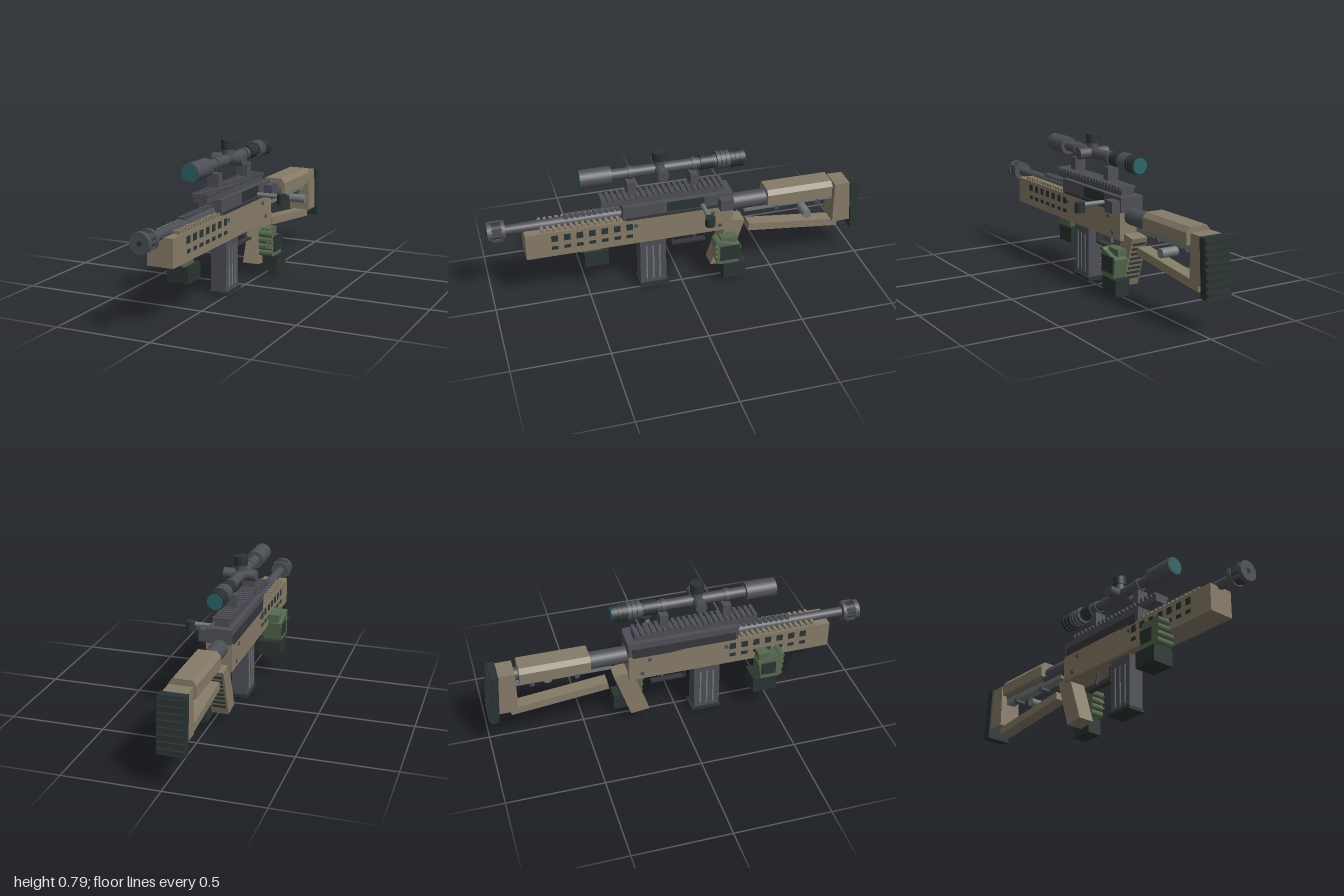
import * as THREE from 'three';

const material = (name, color) => {
  const m = new THREE.MeshStandardMaterial({ color });
  m.name = name;
  return m;
};

export function createModel() {
  const root = new THREE.Group();
  root.name = 'scopedRifle';
  const CX = -0.045; // bore axis in x
  const gun = material('gunmetal', 0x4d4f56);
  const dark = material('dark steel', 0x36373c);
  const tan = material('tan polymer', 0x867b68);
  const rubber = material('black rubber', 0x2a3432);
  const green = material('green glove', 0x55684f);
  const steel = material('light steel', 0x737978);
  const glass = material('teal lens', 0x286466);
  const stitch = material('glove seam', 0x8a7b55);

  const add = (name, geo, mat) => {
    const m = new THREE.Mesh(geo, mat);
    m.name = name;
    root.add(m);
    return m;
  };
  // Box given by its limits on each axis
  const box = (name, mat, x0, x1, y0, y1, z0, z1) =>
    add(name, new THREE.BoxGeometry(x1 - x0, y1 - y0, Math.abs(z1 - z0))
      .translate((x0 + x1) / 2, (y0 + y1) / 2, (z0 + z1) / 2), mat);
  // Round part along z; r0 at z0 (front), r1 at z1 (rear)
  const rodZ = (name, mat, y, z0, z1, r0, r1 = r0, seg = 24) =>
    add(name, new THREE.CylinderGeometry(r0, r1, z0 - z1, seg).rotateX(Math.PI / 2)
      .translate(CX, y, (z0 + z1) / 2), mat);
  const rodX = (name, mat, x0, x1, y, z, r, seg = 16) =>
    add(name, new THREE.CylinderGeometry(r, r, x1 - x0, seg).rotateZ(Math.PI / 2)
      .translate((x0 + x1) / 2, y, z), mat);
  const rodY = (name, mat, x, z, y0, y1, r, seg = 16) =>
    add(name, new THREE.CylinderGeometry(r, r, y1 - y0, seg).translate(x, (y0 + y1) / 2, z), mat);
  // Side profile of [z, y] points, extruded across x
  const profile = (name, mat, x0, x1, pts) => {
    const shape = new THREE.Shape(pts.map(p => new THREE.Vector2(...p)));
    const geo = new THREE.ExtrudeGeometry(shape, { depth: x1 - x0, bevelEnabled: false });
    return add(name, geo.rotateY(-Math.PI / 2).translate(x1, 0, 0), mat);
  };

  // Barrel and muzzle brake
  rodZ('barrel', gun, 0.452, 0.93, 0.3, 0.024, 0.031);
  rodZ('muzzleFront', gun, 0.452, 1.0, 0.975, 0.052);
  rodZ('muzzleRear', gun, 0.452, 0.93, 0.91, 0.052);
  rodZ('muzzleCore', dark, 0.452, 0.98, 0.92, 0.045);
  for (const y of [0.425, 0.452, 0.479]) box('muzzleRib', gun, CX - 0.045, CX + 0.045, y - 0.008, y + 0.008, 0.925, 0.98);
  rodZ('bore', rubber, 0.452, 1.001, 0.99, 0.013);

  // Handguard with two rows of vents on each side
  box('handguard', tan, -0.112, 0.025, 0.298, 0.44, -0.27, 0.82);
  for (const x of [-0.112, 0.025]) {
    for (let i = 0; i < 7; i++) {
      const z = 0.672 - i * 0.0645;
      box('upperVent', rubber, x - 0.002, x + 0.002, 0.385, 0.42, z - 0.017, z + 0.017);
      box('lowerVent', rubber, x - 0.002, x + 0.002, 0.338, 0.357, z - 0.017, z + 0.017);
    }
    for (const [y, z] of [[0.405, 0.25], [0.41, -0.16], [0.33, -0.2]])
      rodX('receiverPin', gun, x - 0.004, x + 0.004, y, z, 0.011);
  }
  for (let i = 0; i < 14; i++) {
    const z = 0.73 - i * 0.03;
    box('handguardRib', tan, -0.106, 0.018, 0.438, 0.457, z - 0.008, z + 0.008);
  }
  for (let i = 0; i < 10; i++) {
    const z = 0.6 - i * 0.03;
    box('barrelRib', gun, -0.063, -0.027, 0.46, 0.49, z - 0.009, z + 0.009);
  }

  // Receiver, ejection port and rear cover
  box('receiver', gun, -0.108, 0.02, 0.43, 0.518, -0.27, 0.315);
  box('ejectionPort', rubber, 0.017, 0.023, 0.46, 0.515, -0.115, 0.085);
  box('sidePanel', dark, 0.017, 0.024, 0.432, 0.455, -0.25, 0.3);
  box('sidePanel', dark, -0.112, -0.105, 0.432, 0.485, -0.25, 0.3);
  box('boltCover', gun, 0.02, 0.067, 0.44, 0.502, -0.26, -0.19);

  // Top rail
  box('topRail', gun, -0.083, -0.007, 0.518, 0.547, -0.23, 0.42);
  for (let i = 0; i < 22; i++) {
    const z = 0.41 - i * 0.03;
    box('railTooth', gun, -0.092, 0.002, 0.547, 0.563, z - 0.009, z + 0.009);
  }

  // Bolt handle
  rodX('boltHandle', steel, 0.02, 0.14, 0.467, -0.105, 0.012);
  rodY('boltKnob', rubber, 0.16, -0.105, 0.43, 0.48, 0.026);

  // Scope
  const SY = 0.685;
  rodZ('scopeTube', gun, SY, 0.37, -0.2, 0.028);
  rodZ('scopeBell', gun, SY, 0.52, 0.36, 0.047);
  rodZ('frontLens', glass, SY, 0.522, 0.518, 0.042);
  rodZ('focusRing', rubber, SY, -0.105, -0.175, 0.038);
  rodZ('eyepieceNeck', gun, SY, -0.175, -0.2, 0.032);
  rodZ('eyepiece', rubber, SY, -0.19, -0.338, 0.042);
  for (let i = 0; i < 6; i++) rodZ('eyepieceRing', i < 3 ? gun : rubber, SY, -0.19 - i * 0.0245, -0.21 - i * 0.0245, 0.046);
  rodZ('rearLens', glass, SY, -0.337, -0.341, 0.04);
  rodX('sideTurrets', gun, -0.128, 0.045, SY, 0.107, 0.03);
  rodY('turretStem', gun, CX, 0.107, SY, 0.74, 0.029);
  rodY('turretCap', rubber, CX, 0.107, 0.737, 0.785, 0.036, 12);
  for (const z of [0.26, -0.072]) {
    box('scopeMount', gun, -0.077, -0.013, 0.573, 0.64, z - 0.022, z + 0.022);
    rodZ('scopeRing', gun, SY, z + 0.012, z - 0.012, 0.034);
  }

  // Magazine with pressed grooves
  box('magazine', gun, -0.088, -0.003, 0.018, 0.3, 0.085, 0.225);
  box('magazineBase', rubber, -0.095, 0.005, 0, 0.018, 0.07, 0.23);
  for (const x of [-0.088, -0.003])
    for (const z of [0.12, 0.155, 0.19])
      box('magazineRib', steel, x - 0.003, x + 0.003, 0.04, 0.25, z - 0.004, z + 0.004);

  // Trigger and guard
  box('guardBar', dark, -0.06, -0.03, 0.212, 0.222, -0.14, 0.047);
  box('guardPost', dark, -0.06, -0.03, 0.215, 0.3, 0.037, 0.047);
  profile('trigger', gun, -0.053, -0.037, [[-0.06, 0.3], [-0.075, 0.24], [-0.087, 0.24], [-0.075, 0.3]]);

  // Pistol grip with ribs down its back
  profile('grip', tan, -0.09, 0, [[-0.25, 0.335], [-0.345, 0.32], [-0.26, 0.058], [-0.16, 0.07], [-0.24, 0.3]]);
  for (let i = 0; i < 8; i++) {
    const t = 0.12 + i * 0.1;
    const rib = box('gripRib', rubber, -0.08, -0.01, -0.006, 0.006, -0.006, 0.006);
    rib.position.set(0, 0.32 - 0.262 * t, -0.345 + 0.085 * t);
  }

  // Stock
  rodZ('bufferTube', gun, 0.42, -0.25, -0.5, 0.045);
  rodZ('stockTube', gun, 0.42, -0.5, -0.86, 0.034);
  box('stockBar', steel, -0.07, -0.02, 0.36, 0.398, -0.845, -0.35);
  for (const z of [-0.53, -0.76]) rodX('stockPin', gun, -0.073, -0.017, 0.355, z, 0.014);
  rodX('stockKnob', steel, -0.03, 0.06, 0.335, -0.675, 0.024);
  const cheek = new THREE.Shape([[-0.115, 0.4], [0.02, 0.4], [0.02, 0.46], [0.0, 0.485], [-0.095, 0.485], [-0.115, 0.46]]
    .map(p => new THREE.Vector2(...p)));
  add('cheekRest', new THREE.ExtrudeGeometry(cheek, { depth: 0.36, bevelEnabled: false }).translate(0, 0, -0.825), tan);
  profile('buttBlock', tan, -0.107, 0.012, [[-0.845, 0.463], [-0.932, 0.463], [-0.955, 0.23], [-0.845, 0.23]]);
  profile('buttPad', rubber, -0.115, 0.023, [[-0.928, 0.465], [-0.968, 0.465], [-0.992, 0.18], [-0.948, 0.18]]);
  for (let i = 0; i < 8; i++) {
    const t = 0.08 + i * 0.12;
    const z = -0.968 - 0.024 * t, y = 0.465 - 0.285 * t;
    box('padRidge', rubber, -0.112, 0.02, y - 0.009, y + 0.009, z - 0.01, z + 0.01);
  }
  profile('lowerStrut', tan, -0.08, -0.01, [[-0.376, 0.285], [-0.37, 0.243], [-0.88, 0.187], [-0.885, 0.228]]);

  // Gloved hands: palm, four stacked fingers, thumb and cuff
  const hand = (side, x0, x1, y0, z0, cuff) => {
    profile(side + 'Palm', green, x0, x1, [[z0 - 0.015, y0 + 0.14], [z0 - 0.14, y0 + 0.1], [z0 - 0.125, y0], [z0 - 0.03, y0]]);
    for (let i = 0; i < 4; i++) {
      const y = y0 + 0.02 + i * 0.035;
      rodX(side + 'Finger', green, x0, x1, y, z0 - 0.025 + i * 0.003, 0.019, 10);
    }
    box(side + 'Cuff', rubber, ...cuff);
  };
  hand('rightHand', -0.187, -0.085, 0.215, 0.545, [-0.187, -0.067, 0.13, 0.215, 0.38, 0.51]);
  hand('leftHand', 0.0, 0.076, 0.113, -0.165, [0.005, 0.088, 0.028, 0.115, -0.33, -0.205]);
  box('rightHandThumb', green, -0.17, -0.085, 0.3, 0.36, 0.41, 0.47);
  box('rightHandPlate', rubber, -0.191, -0.185, 0.24, 0.31, 0.42, 0.5);
  box('leftHandThumb', green, 0.0, 0.05, 0.225, 0.26, -0.29, -0.2);
  box('leftHandPlate', rubber, 0.076, 0.085, 0.14, 0.225, -0.295, -0.19);
  for (const y of [0.165, 0.197, 0.23]) box('gloveSeam', stitch, 0.045, 0.08, y - 0.003, y + 0.003, -0.175, -0.165);

  return root;
}
